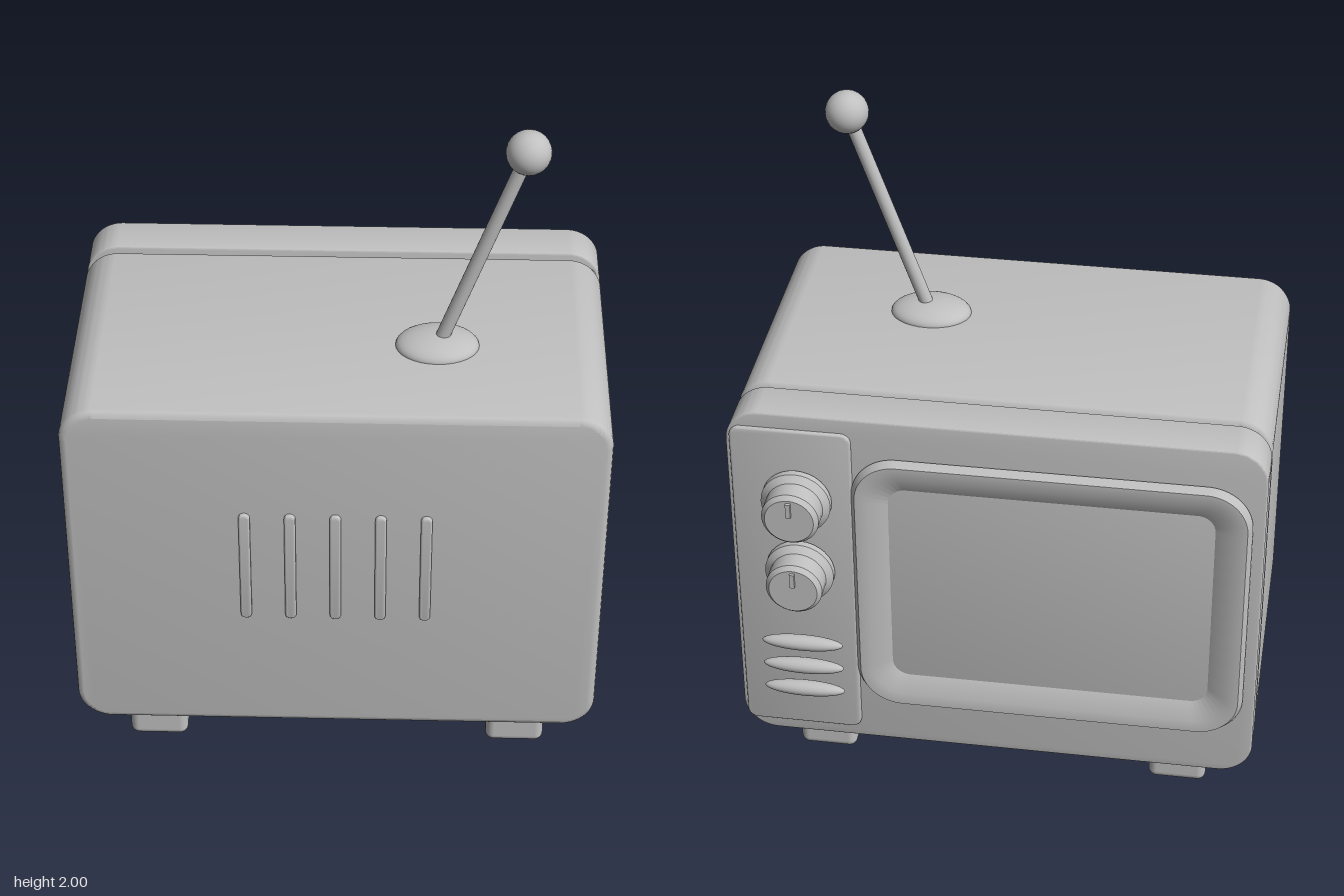
import * as THREE from 'three';
import { toCreasedNormals } from 'three/addons/utils/BufferGeometryUtils.js';
import { RoundedBoxGeometry } from 'three/addons/geometries/RoundedBoxGeometry.js';

const grey = new THREE.MeshStandardMaterial({ color: 0xc0c0c0 });
grey.name = 'grey plastic';

function add(parent, name, geometry, x = 0, y = 0, z = 0) {
  const mesh = new THREE.Mesh(geometry, grey);
  mesh.name = name;
  mesh.position.set(x, y, z);
  parent.add(mesh);
  return mesh;
}

// Rounded rectangle centred on the origin
function roundedRect(w, h, r) {
  const a = w / 2, b = h / 2, q = Math.PI / 2;
  const s = new THREE.Shape();
  s.absarc(a - r, b - r, r, 0, q, false);
  s.absarc(r - a, b - r, r, q, 2 * q, false);
  s.absarc(r - a, r - b, r, 2 * q, 3 * q, false);
  s.absarc(a - r, r - b, r, 3 * q, 4 * q, false);
  s.closePath();
  return s;
}

// Rounded slab from z0 to z1 with bevelled rims
function slab(w, h, r, z0, z1, bevel) {
  const g = new THREE.ExtrudeGeometry(roundedRect(w - 2 * bevel, h - 2 * bevel, r - bevel), {
    depth: z1 - z0 - 2 * bevel, bevelThickness: bevel, bevelSize: bevel, bevelSegments: 3, curveSegments: 10,
  });
  g.translate(0, 0, z0 + bevel);
  return toCreasedNormals(g, 0.6);
}

// Skin through rounded-rectangle sections [width, height, radius, z]
function loft(sections) {
  const rings = sections.map(([w, h, r, z]) =>
    roundedRect(w, h, r).getPoints(10).map((p) => new THREE.Vector3(p.x, p.y, z)));
  const n = rings[0].length, index = [];
  for (let i = 0; i < rings.length - 1; i++) {
    for (let j = 0; j < n; j++) {
      const a = i * n + j, b = i * n + (j + 1) % n;
      index.push(a, a + n, b, b, a + n, b + n);
    }
  }
  const g = new THREE.BufferGeometry().setFromPoints(rings.flat());
  g.setIndex(index);
  return toCreasedNormals(g.toNonIndexed(), 0.5);
}

// Round dial pointing to -z, with a raised pointer
function makeKnob(y) {
  const knob = new THREE.Group();
  knob.name = 'knob';
  knob.position.set(0.56, y, -0.415);
  const profile = [[0, 0], [0.088, 0], [0.1, 0.012], [0.1, 0.032], [0.088, 0.044], [0.082, 0.05],
    [0.082, 0.105], [0.07, 0.118], [0, 0.118]].map(([r, d]) => new THREE.Vector2(r, d));
  const dial = new THREE.LatheGeometry(profile, 32);
  dial.rotateX(-Math.PI / 2);
  add(knob, 'dial', toCreasedNormals(dial, 0.5));
  add(knob, 'pointer', new THREE.BoxGeometry(0.014, 0.045, 0.02), 0, 0.04, -0.117);
  return knob;
}

export function createModel() {
  const model = new THREE.Group();
  model.name = 'television';

  // Cabinet and separate front panel
  add(model, 'cabinet', slab(1.52, 1.14, 0.1, -0.257, 0.527, 0.02), 0, 0.73);
  add(model, 'frontPanel', slab(1.52, 1.14, 0.1, -0.41, -0.277, 0.006), 0, 0.73);

  // Screen with sloping surround
  add(model, 'screen', slab(0.99, 0.74, 0.09, -0.414, -0.4, 0.001), -0.16, 0.748);
  add(model, 'screenSurround', loft([
    [1.0, 0.75, 0.09, -0.417],
    [1.13, 0.87, 0.13, -0.417],
    [1.13, 0.87, 0.13, -0.422],
    [1.105, 0.845, 0.12, -0.442],
    [1.03, 0.77, 0.09, -0.442],
    [0.92, 0.66, 0.05, -0.413],
  ]), -0.16, 0.748);

  // Control plate, dials and speaker slats
  add(model, 'controlPlate', slab(0.345, 1.05, 0.03, -0.422, -0.266, 0.006), 0.575, 0.727);
  for (const y of [1.025, 0.78]) model.add(makeKnob(y));
  for (const y of [0.362, 0.447, 0.532]) {
    const slat = add(model, 'speakerSlat', new THREE.SphereGeometry(1, 28, 16), 0.56, y, -0.455);
    slat.scale.set(0.12, 0.023, 0.025);
  }

  // Rear vents
  for (let i = -2; i <= 2; i++) {
    add(model, 'rearVent', slab(0.032, 0.38, 0.0155, 0.515, 0.541, 0.006), i * 0.1275, 0.767);
  }

  // Feet
  for (const x of [-0.535, 0.535]) {
    for (const z of [-0.215, 0.355]) {
      add(model, 'foot', new RoundedBoxGeometry(0.172, 0.17, 0.168, 4, 0.025), x, 0.09, z);
    }
  }

  // Leaning aerial
  const aerial = new THREE.Group();
  aerial.name = 'aerial';
  aerial.position.z = 0.187;
  model.add(aerial);
  const base = add(aerial, 'aerialBase', new THREE.SphereGeometry(1, 32, 16), 0.277, 1.3);
  base.scale.set(0.118, 0.04, 0.093);
  const foot = new THREE.Vector3(0.28, 1.3, 0), tip = new THREE.Vector3(0.507, 1.938, 0);
  const dir = tip.clone().sub(foot);
  const rod = add(aerial, 'aerialRod', new THREE.CylinderGeometry(0.02, 0.02, dir.length(), 20));
  rod.position.copy(foot).addScaledVector(dir, 0.5);
  rod.quaternion.setFromUnitVectors(new THREE.Vector3(0, 1, 0), dir.normalize());
  add(aerial, 'aerialBall', new THREE.SphereGeometry(0.062, 28, 18), tip.x, tip.y, 0);

  return model;
}
